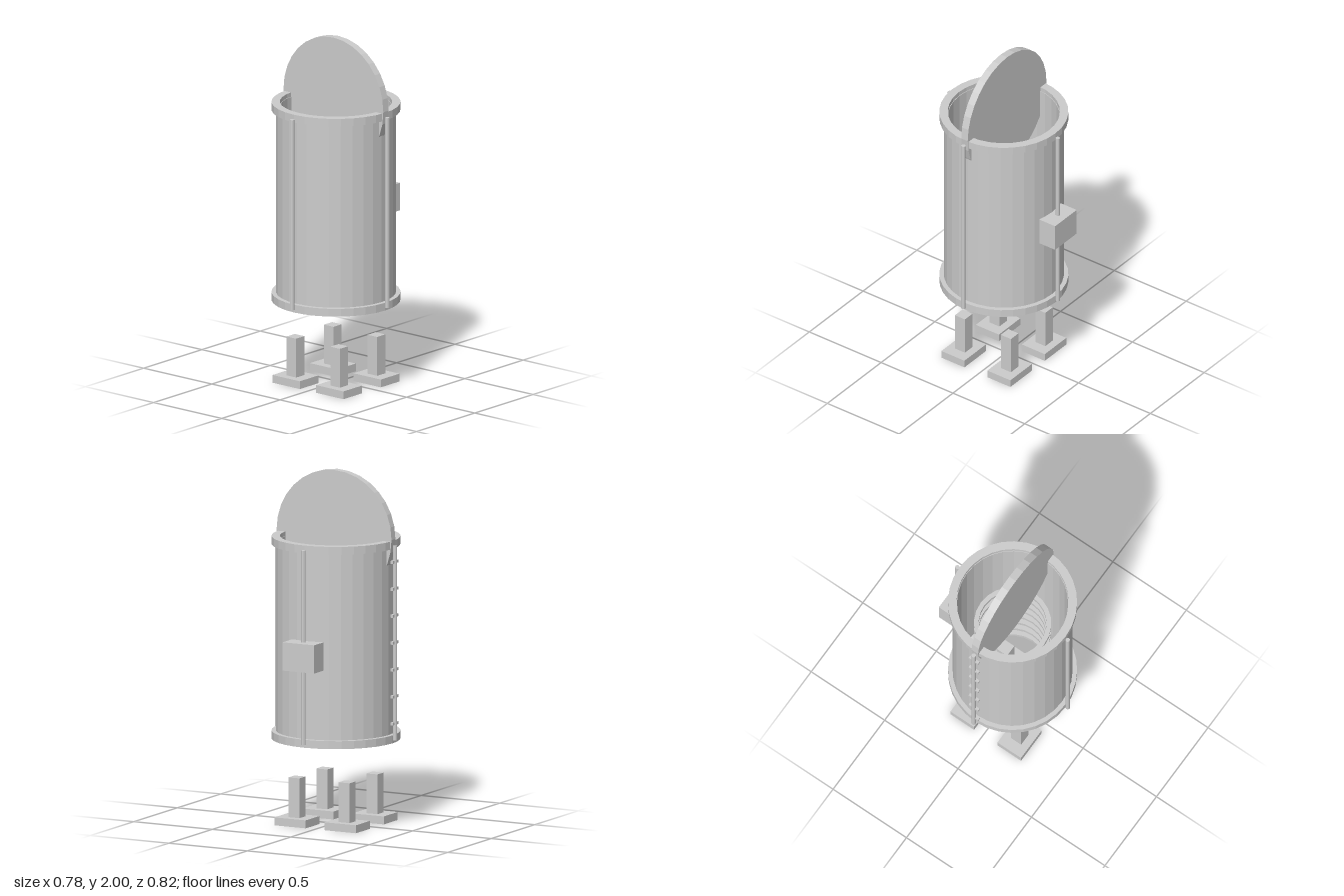
import * as THREE from 'three';

export function createModel() {
  const model = new THREE.Group();
  model.name = 'standingTank';
  const grey = new THREE.MeshStandardMaterial({ color: 0xcccccc });
  grey.name = 'plain grey';
  const axisZ = 0.02; // the tank axis sits slightly forward

  // Faceted mesh: every face keeps its own normal
  function add(name, geometry, x, y, z) {
    const flat = geometry.index ? geometry.toNonIndexed() : geometry;
    flat.computeVertexNormals();
    const mesh = new THREE.Mesh(flat, grey);
    mesh.name = name;
    mesh.position.set(x, y, z);
    model.add(mesh);
    return mesh;
  }

  // Closed ring with a rectangular section, standing on y = 0
  function ring(inner, outer, height, sides) {
    const profile = [[inner, 0], [outer, 0], [outer, height], [inner, height], [inner, 0]];
    return new THREE.LatheGeometry(profile.map(([r, y]) => new THREE.Vector2(r, y)), sides);
  }

  // Open tank wall with a flange at each end
  add('tankWall', ring(0.31, 0.335, 1.1, 32), 0, 0.5, axisZ);
  add('bottomFlange', ring(0.313, 0.36, 0.045, 32), 0, 0.48, axisZ);
  add('topFlange', ring(0.313, 0.36, 0.045, 32), 0, 1.58, axisZ);

  // Stack of rings inside the tank
  for (let i = 0; i < 8; i++) {
    add('innerRing', ring(0.19, 0.216, 0.025, 24), 0, 0.55 + i * 0.1, axisZ);
  }

  // Upright lid disc
  const lid = new THREE.CylinderGeometry(0.366, 0.366, 0.045, 32);
  lid.rotateX(Math.PI / 2);
  add('lidDisc', lid, 0, 1.634, axisZ);

  // Four vertical rods around the wall
  for (let i = 0; i < 4; i++) {
    const a = (i * Math.PI) / 2;
    add('rod', new THREE.CylinderGeometry(0.0125, 0.0125, 1.1, 10),
      0.376 * Math.sin(a), 1.05, axisZ + 0.376 * Math.cos(a));
  }

  // Rungs across the right rod
  for (let i = 0; i < 7; i++) {
    add('rung', new THREE.BoxGeometry(0.016, 0.016, 0.065), -0.372, 0.595 + i * 0.1525, axisZ);
  }

  // Control box on the back
  add('controlBox', new THREE.BoxGeometry(0.2, 0.16, 0.11), 0, 1.0, -0.357);

  // Four feet: a base plate and a post each
  for (const x of [-0.16, 0.16]) {
    for (const z of [-0.14, 0.18]) {
      add('footPlate', new THREE.BoxGeometry(0.2, 0.045, 0.16), x, 0.0225, z);
      add('footPost', new THREE.BoxGeometry(0.07, 0.225, 0.07), x, 0.1575, z);
    }
  }
  return model;
}
